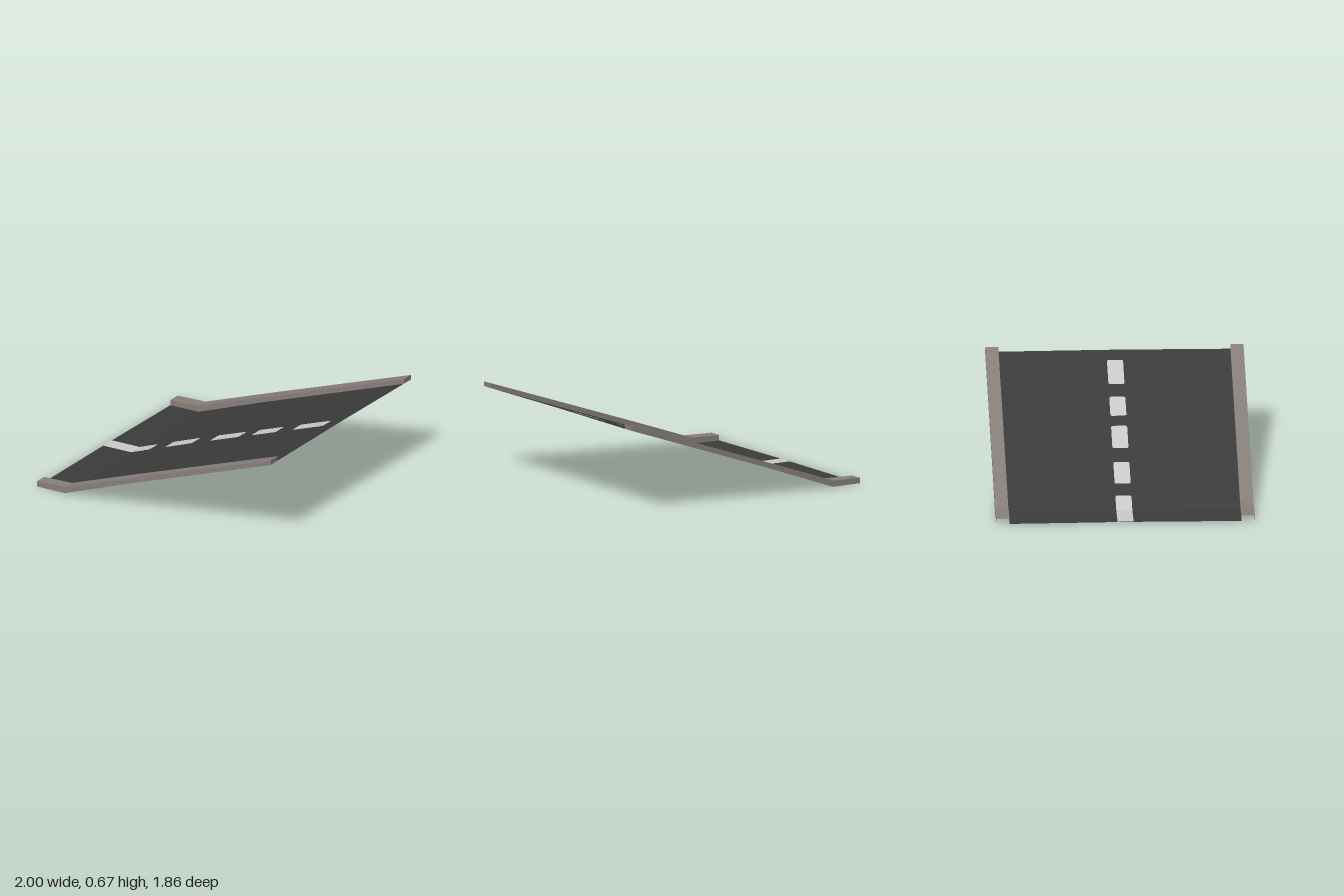
import * as THREE from 'three';

// Height profile of the ramp along x
const PATH = [[-1, 0], [-0.76, 0.004], [-0.2, 0.211], [1, 0.635]];
const EDGE = 0.835, OUTER = 0.93, STRIPE = 0.058;

function rampY(x) {
  for (let i = 1; i < PATH.length; i++) {
    const [x0, y0] = PATH[i - 1], [x1, y1] = PATH[i];
    if (x <= x1) return y0 + (y1 - y0) * (x - x0) / (x1 - x0);
  }
  return PATH[PATH.length - 1][1];
}

// Slight crown across the carriageway
const crown = z => 0.004 * (1 - Math.min(1, Math.abs(z) / EDGE));

// Flat-shaded open sheet through a row of cross-sections of [x, y, z] points
function loft(sections) {
  const pos = [];
  for (let i = 1; i < sections.length; i++) {
    const a = sections[i - 1], b = sections[i];
    for (let j = 1; j < a.length; j++) {
      pos.push(...a[j - 1], ...a[j], ...b[j], ...a[j - 1], ...b[j], ...b[j - 1]);
    }
  }
  const g = new THREE.BufferGeometry();
  g.setAttribute('position', new THREE.Float32BufferAttribute(pos, 3));
  g.computeVertexNormals();
  return g;
}

function makeMaterial(name, color) {
  const m = new THREE.MeshStandardMaterial({ color, side: THREE.DoubleSide });
  m.name = name;
  return m;
}

export function createModel() {
  const group = new THREE.Group();
  const asphalt = makeMaterial('asphalt', 0x3b3b3b);
  const concrete = makeMaterial('concrete', 0x867e79);
  const paint = makeMaterial('lanePaint', 0xc9c9c9);
  const add = (name, geometry, material) => {
    const mesh = new THREE.Mesh(geometry, material);
    mesh.name = name;
    group.add(mesh);
  };

  // Carriageway: a single thin sheet
  const across = [-EDGE, -0.32, 0, 0.32, EDGE];
  add('roadSurface', loft(PATH.map(([x, y]) => across.map(z => [x, y + crown(z), z]))), asphalt);

  // Kerbs: channels open below and at the low end, capped at the high end
  for (const side of [1, -1]) {
    const zs = side > 0 ? [EDGE, OUTER] : [-OUTER, -EDGE];
    const sections = PATH.map(([x, y], i) => {
      const top = y + [0.04, 0.046, 0.039, 0.035][i];
      return [[x, y, zs[0]], [x, top, zs[0]], [x, top, zs[1]], [x, y, zs[1]]];
    });
    const name = side > 0 ? 'frontKerb' : 'backKerb';
    add(name, loft(sections), concrete);
    const [a, b, c, d] = sections[sections.length - 1];
    add(name + 'EndCap', loft([[a, d], [b, c]]), concrete);
  }

  // Lane dashes with clipped corners, showing on both faces of the sheet
  const dashes = [[-1, -0.6], [-0.47, -0.237], [-0.085, 0.16], [0.27, 0.48], [0.62, 0.885]];
  dashes.forEach(([x0, x1], i) => {
    const c = 0.01;
    const stations = [[x0, i ? STRIPE - c : STRIPE], [x0 + c, STRIPE]];
    for (const [x] of PATH) if (x > x0 + c && x < x1 - c) stations.push([x, STRIPE]);
    stations.push([x1 - c, STRIPE], [x1, STRIPE - c]);
    for (const lift of [0.002, -0.002]) {
      const sections = stations.map(([x, w]) =>
        [-w, 0, w].map(z => [x, rampY(x) + crown(z) + lift, z]));
      add(lift > 0 ? 'laneDashTop' : 'laneDashUnderside', loft(sections), paint);
    }
  });

  return group;
}
